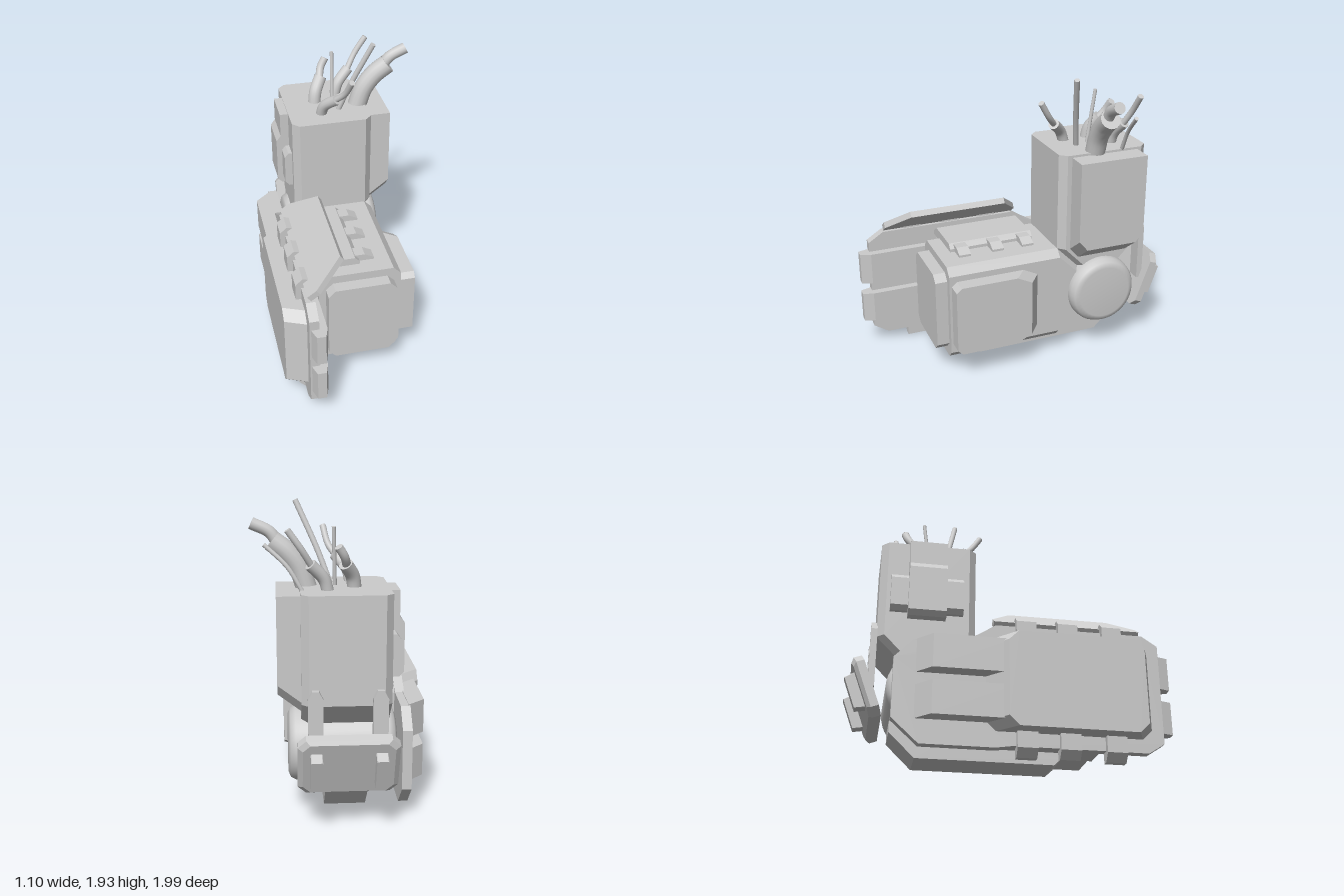
import * as THREE from 'three';

const material = new THREE.MeshStandardMaterial({ color: 0xcccccc, side: THREE.DoubleSide });

// Rectangle with cut corners, as points in a section plane
function cutRect(a0, a1, b0, b1, c) {
  return [[a0 + c, b0], [a1 - c, b0], [a1, b0 + c], [a1, b1 - c],
    [a1 - c, b1], [a0 + c, b1], [a0, b1 - c], [a0, b0 + c]];
}

// Faceted solid through matching sections along an axis, positions ascending.
// Section coordinates: axis x -> (y, z), axis y -> (z, x), axis z -> (x, y)
function loft(axis, sections) {
  const place = {
    x: (a, b, p) => [p, a, b],
    y: (a, b, p) => [b, p, a],
    z: (a, b, p) => [a, b, p],
  }[axis];
  const flat = (ring) => ring.map(([a, b]) => new THREE.Vector2(a, b));
  const reversed = THREE.ShapeUtils.area(flat(sections[0][1])) < 0;
  const rings = sections.map(([p, ring]) => ({ p, ring: reversed ? [...ring].reverse() : ring }));
  const out = [];
  const put = (s, i) => out.push(...place(s.ring[i][0], s.ring[i][1], s.p));
  for (let k = 0; k < rings.length - 1; k++) {
    const lo = rings[k], hi = rings[k + 1], n = lo.ring.length;
    for (let i = 0; i < n; i++) {
      const j = (i + 1) % n;
      put(lo, i); put(lo, j); put(hi, j);
      put(lo, i); put(hi, j); put(hi, i);
    }
  }
  const first = rings[0], last = rings[rings.length - 1];
  for (const [a, b, c] of THREE.ShapeUtils.triangulateShape(flat(first.ring), [])) {
    put(first, a); put(first, c); put(first, b);
  }
  for (const [a, b, c] of THREE.ShapeUtils.triangulateShape(flat(last.ring), [])) {
    put(last, a); put(last, b); put(last, c);
  }
  const geometry = new THREE.BufferGeometry();
  geometry.setAttribute('position', new THREE.Float32BufferAttribute(out, 3));
  geometry.computeVertexNormals();
  return geometry;
}

const prism = (axis, p0, p1, ring) => loft(axis, [[p0, ring], [p1, ring]]);

export function createModel() {
  const model = new THREE.Group();
  const add = (name, geometry, parent = model) => {
    const mesh = new THREE.Mesh(geometry, material);
    mesh.name = name;
    parent.add(mesh);
    return mesh;
  };

  // Upper arm, narrowing into the elbow
  add('upperArm', loft('y', [
    [0.62, cutRect(-0.66, -0.36, -0.285, 0.25, 0.045)],
    [0.78, cutRect(-0.82, -0.205, -0.285, 0.25, 0.045)],
    [1.435, cutRect(-0.82, -0.205, -0.285, 0.25, 0.045)],
  ]));
  const armPodRing = (y) => [[1.42, -0.28], [1.42, -0.745], [y + 0.07, -0.745],
    [y, -0.69], [y, -0.34], [y + 0.07, -0.28]];
  add('upperArmPod', loft('x', [[0.24, armPodRing(0.705)], [0.39, armPodRing(0.82)]]));

  // Stepped panel with two wings on the right of the upper arm
  add('upperArmPanel', prism('z', -0.64, -0.4, [[-0.27, 1.43], [-0.34, 1.43], [-0.34, 1.27],
    [-0.37, 1.23], [-0.37, 0.93], [-0.34, 0.9], [-0.27, 0.9]]));
  for (const z of [-0.75, -0.4]) {
    add('panelWing', prism('z', z, z + 0.11, [[-0.27, 1.19], [-0.31, 1.19], [-0.335, 1.16],
      [-0.335, 0.97], [-0.31, 0.94], [-0.27, 0.94]]));
  }

  // Elbow joint with rounded rims
  const rim = [[0, -0.33], [0.18, -0.33], [0.215, -0.315], [0.232, -0.285], [0.236, -0.25]];
  const elbowProfile = [...rim, ...rim.map(([r, h]) => [r, -h]).reverse()]
    .map(([r, h]) => new THREE.Vector2(r, h));
  const elbow = add('elbowJoint', new THREE.LatheGeometry(elbowProfile, 40));
  elbow.rotation.z = -Math.PI / 2;
  elbow.position.set(0, 0.45, -0.51);

  // Forearm, end panel and side pod
  add('forearm', loft('z', [
    [-0.36, cutRect(-0.285, 0.25, 0.27, 0.63, 0.05)],
    [-0.21, cutRect(-0.285, 0.25, 0.125, 0.78, 0.05)],
    [0.56, cutRect(-0.285, 0.25, 0.125, 0.78, 0.05)],
  ]));
  add('forearmEndPanel', prism('z', 0.55, 0.64, cutRect(-0.24, 0.205, 0.18, 0.725, 0.045)));
  const forearmPodRing = (back) => [[0.21, 0.51], [0.24, 0.545], [0.66, 0.545], [0.69, 0.51],
    [0.69, back + 0.1], [0.64, back], [0.26, back], [0.21, back + 0.1]];
  add('forearmPod', loft('x', [[0.24, forearmPodRing(-0.055)], [0.35, forearmPodRing(0.03)]]));

  // Rail under the forearm, rising behind the elbow
  add('undersideRail', prism('x', -0.15, 0.11, [[0.2, 0.36], [0.09, 0.36], [0.045, 0.31],
    [0.045, -0.55], [0.2, -0.71], [0.27, -0.71], [0.3, -0.5], [0.2, -0.3]]));

  // Bridge between forearm and shield, with the clamp on top
  add('shieldBridge', loft('x', [
    [-0.37, cutRect(0.18, 0.73, -0.3, 0.5, 0.05)],
    [-0.28, cutRect(0.13, 0.78, -0.3, 0.5, 0.05)],
  ]));
  add('clampPlate', prism('z', -0.11, 0.47, [[-0.36, 0.76], [-0.36, 0.79], [-0.3, 0.83],
    [-0.03, 0.83], [0, 0.8], [0, 0.76]]));
  for (const z of [-0.04, 0.17, 0.4]) {
    add('clampTooth', prism('z', z - 0.04, z + 0.04,
      [[-0.04, 0.77], [-0.04, 0.825], [0.04, 0.825], [0.1, 0.795], [0.1, 0.77]]));
  }

  // Shield plate and its raised outer shell
  add('shieldPlate', prism('x', -0.42, -0.36, [[0.13, 0.93], [0.065, 0.83], [0.065, 0.0],
    [0.05, -0.1], [0.05, -0.55], [0.2, -0.715], [0.58, -0.715], [0.7, -0.6], [0.7, -0.32],
    [0.77, -0.2], [0.835, -0.1], [0.835, 0.83], [0.77, 0.93]]));
  add('shieldShell', loft('x', [
    [-0.55, cutRect(0.15, 0.75, -0.04, 0.8, 0.06)],
    [-0.41, cutRect(0.15, 0.75, -0.17, 0.86, 0.06)],
  ]));

  // Paired bars at both ends of the shield
  for (const [y0, y1] of [[0.2, 0.41], [0.49, 0.705]]) {
    const backRing = (z) => [[y0, 0], [y1, 0], [y1, z], [y0, z]];
    add('shieldBackBar', loft('x', [[-0.52, backRing(-0.49)], [-0.41, backRing(-0.59)]]));
    const frontRing = (inset) => [[-0.41 + inset, y0], [-0.31 - inset, y0],
      [-0.31 - inset, y1], [-0.41 + inset, y1]];
    add('shieldFrontBar', loft('z', [[0.5, frontRing(0)], [0.93, frontRing(0)], [1, frontRing(0.022)]]));
  }

  // Clips along the top and bottom edges of the shield
  for (const z of [0.085, 0.345, 0.625]) {
    add('topClip', prism('z', z - 0.062, z + 0.062, [[-0.455, 0.72], [-0.455, 0.86],
      [-0.41, 0.9], [-0.37, 0.89], [-0.37, 0.8], [-0.41, 0.74]]));
    add('bottomClip', prism('z', z - 0.062, z + 0.062, [[-0.455, 0.17], [-0.455, 0.05],
      [-0.41, 0], [-0.37, 0], [-0.37, 0.1], [-0.41, 0.16]]));
  }

  // Sloping flap over the top edge
  const flap = add('topFlap', prism('y', 0, 0.04, [[0.82, 0], [0.82, 0.07], [0.68, 0.285],
    [0.025, 0.285], [-0.11, 0.07], [-0.11, 0]]));
  flap.position.set(-0.385, 0.835, 0);
  flap.rotation.z = 0.62;

  // Tilted guard behind the elbow
  const guard = new THREE.Group();
  guard.name = 'elbowGuard';
  guard.position.set(-0.02, 0.435, -0.865);
  guard.rotation.x = -0.35;
  model.add(guard);
  add('guardPlate', loft('z', [
    [-0.035, cutRect(-0.27, 0.27, -0.18, 0.18, 0.045)],
    [-0.015, cutRect(-0.3, 0.3, -0.2, 0.2, 0.05)],
    [0.035, cutRect(-0.3, 0.3, -0.2, 0.2, 0.05)],
  ]), guard);
  for (const x of [-0.19, 0.19]) {
    add('guardBlock', loft('z', [
      [-0.1, cutRect(x - 0.035, x + 0.035, -0.105, 0.105, 0.005)],
      [-0.02, cutRect(x - 0.035, x + 0.035, -0.12, 0.12, 0.005)],
    ]), guard);
    const c = x - 0.02;
    add('guardStrap', prism('z', -0.855, -0.815, [[c - 0.045, 0.45], [c + 0.045, 0.45],
      [c + 0.045, 0.83], [c + 0.02, 0.88], [c - 0.02, 0.88], [c - 0.045, 0.83]]));
  }

  // Loose cables at the top: capped tubes through a few points
  function cable(name, radius, points) {
    const curve = new THREE.CatmullRomCurve3(points.map((p) => new THREE.Vector3(...p)));
    add(name, new THREE.TubeGeometry(curve, 16, radius, 14));
    const cap = add(name + 'End', new THREE.CircleGeometry(radius, 14));
    cap.position.copy(curve.getPoint(1));
    cap.quaternion.setFromUnitVectors(new THREE.Vector3(0, 0, 1), curve.getTangent(1));
  }
  cable('mainSleeve', 0.065, [[0.2, 1.4, -0.46], [0.25, 1.54, -0.46], [0.32, 1.63, -0.46], [0.41, 1.7, -0.455]]);
  cable('mainCable', 0.037, [[0.36, 1.66, -0.455], [0.42, 1.75, -0.45], [0.53, 1.805, -0.45]]);
  cable('backSleeve', 0.037, [[0.08, 1.4, -0.63], [0.11, 1.5, -0.64], [0.19, 1.59, -0.67]]);
  cable('backCable', 0.02, [[0.17, 1.56, -0.66], [0.24, 1.68, -0.7], [0.32, 1.795, -0.71]]);
  cable('sideSleeve', 0.043, [[-0.08, 1.4, -0.53], [-0.065, 1.5, -0.55], [-0.02, 1.58, -0.6]]);
  cable('sideCable', 0.026, [[-0.03, 1.56, -0.59], [-0.01, 1.63, -0.64], [0.025, 1.69, -0.66]]);
  cable('frontSleeve', 0.036, [[-0.07, 1.4, -0.37], [-0.05, 1.5, -0.33], [0.02, 1.58, -0.25]]);
  cable('frontCable', 0.02, [[0, 1.56, -0.27], [0.06, 1.64, -0.2], [0.09, 1.75, -0.13]]);
  cable('longWire', 0.018, [[0.05, 1.4, -0.4], [0.13, 1.62, -0.355], [0.265, 1.925, -0.29]]);
  cable('thinWire', 0.013, [[0.22, 1.4, -0.64], [0.32, 1.57, -0.63], [0.455, 1.7, -0.61]]);
  cable('shortWire', 0.012, [[0.035, 1.4, -0.48], [0.04, 1.6, -0.505], [0.045, 1.79, -0.53]]);

  return model;
}
